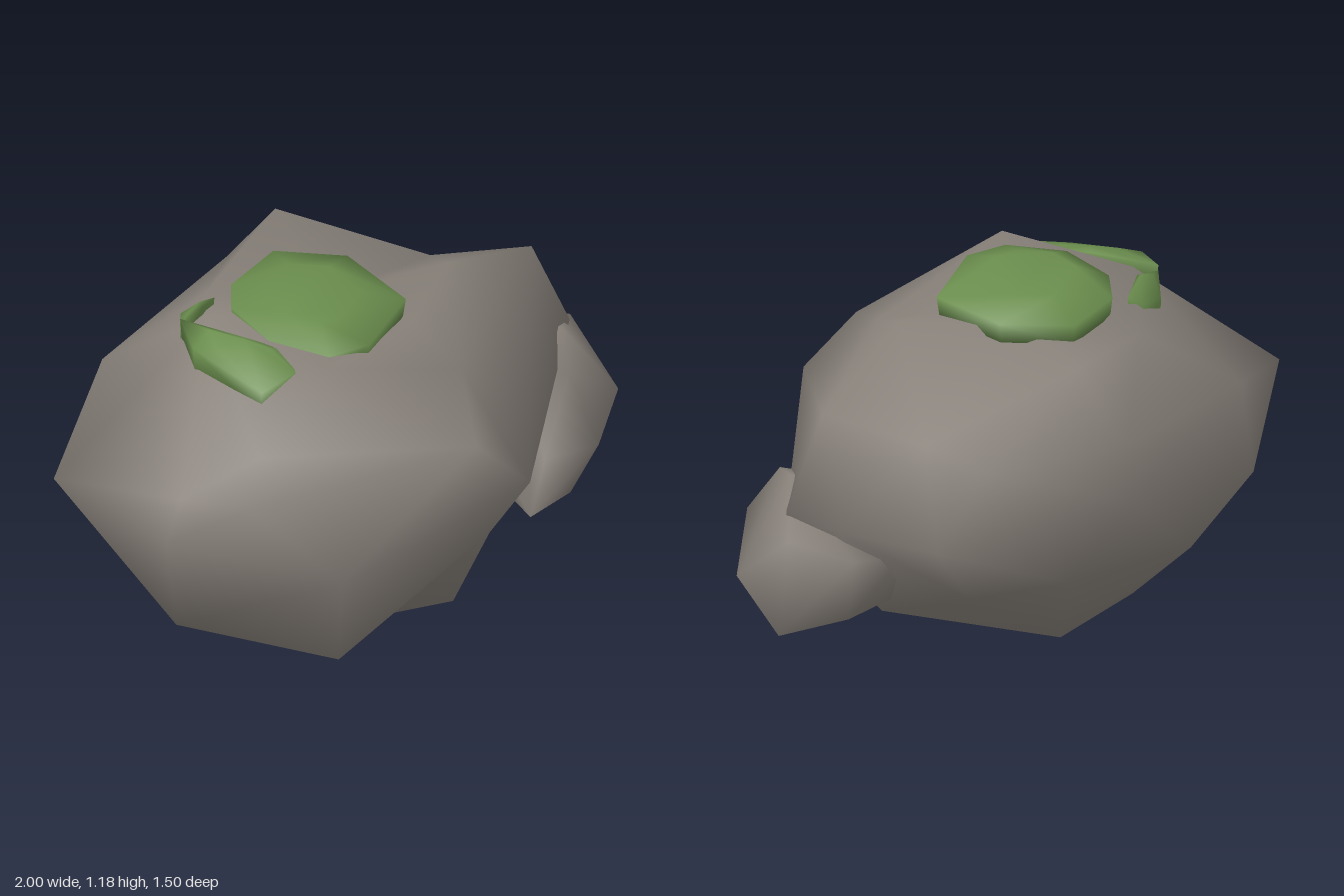
import * as THREE from 'three';
import { ConvexGeometry } from 'three/addons/geometries/ConvexGeometry.js';
import { mergeVertices } from 'three/addons/utils/BufferGeometryUtils.js';

// Weld the corners so the shading runs smoothly over the facets
function smooth(geometry) {
  geometry.deleteAttribute('normal');
  const welded = mergeVertices(geometry, 1e-4);
  welded.computeVertexNormals();
  return welded;
}

const toVectors = (points) => points.map((p) => new THREE.Vector3(...p));

// Closed convex stone around a few corner points
const smoothHull = (points) => smooth(new ConvexGeometry(toVectors(points)));

// Lumpy stone: corners are joined as seen from the centre, so hollows are kept
function lumpyStone(points, centre, radii) {
  const corners = toVectors(points);
  const directions = corners.map((c) => c.clone().sub(centre).divide(radii).normalize());
  const geometry = new ConvexGeometry(directions);
  const position = geometry.attributes.position;
  const v = new THREE.Vector3();
  for (let i = 0; i < position.count; i++) {
    v.fromBufferAttribute(position, i);
    const k = directions.findIndex((d) => d.distanceTo(v) < 1e-4);
    position.setXYZ(i, ...corners[k].toArray());
  }
  return smooth(geometry);
}

// Moss cushion: a rim with a skirt sunk into the rock and a raised crown
function cushion(rim, depth, rise) {
  const mid = new THREE.Vector3();
  toVectors(rim).forEach((p) => mid.add(p));
  mid.divideScalar(rim.length);
  const ring = (scale, dy) => rim.map(([x, y, z]) => [
    mid.x + (x - mid.x) * scale, y + dy, mid.z + (z - mid.z) * scale,
  ]);
  return smoothHull([...ring(0.97, -depth), ...rim, ...ring(0.55, rise)]);
}

export function createModel() {
  const model = new THREE.Group();
  model.name = 'mossyRock';
  const stone = new THREE.MeshStandardMaterial({ color: 0x88817a });
  stone.name = 'stoneGrey';
  const moss = new THREE.MeshStandardMaterial({ color: 0x6b8e4e });
  moss.name = 'mossGreen';
  const add = (name, geometry, material) => {
    const mesh = new THREE.Mesh(geometry, material);
    mesh.name = name;
    model.add(mesh);
  };

  // Main boulder
  add('boulder', lumpyStone([
    // underside
    [0.02, 0, 0.03], [0, 0.09, 0.44], [0.12, 0.07, -0.38], [-0.25, 0.09, -0.39],
    [0.45, 0.15, 0.1], [-0.67, 0.24, 0.54], [-0.42, 0.22, 0.42], [-0.95, 0.31, 0.08],
    [0.5, 0.33, -0.3], [0.1, 0.34, 0.51],
    // girdle
    [0.03, 0.68, 0.75], [-0.7, 0.57, 0.58], [0.87, 0.64, 0.17], [0.87, 0.64, -0.05],
    [0.82, 0.65, -0.41], [0.35, 0.42, -0.6], [-0.2, 0.36, -0.67], [-0.43, 0.57, -0.75],
    [-0.98, 0.67, -0.43], [-1, 0.65, 0.08],
    // shoulders
    [-0.95, 0.81, 0.1], [-0.85, 0.82, 0.32], [-0.73, 0.93, 0.25], [-0.12, 0.85, 0.65],
    [0.06, 0.96, 0.42], [0.15, 0.87, -0.68], [0.15, 0.67, -0.7], [0.74, 0.97, 0.12],
    [0.56, 0.84, -0.42], [0.58, 0.88, -0.18], [-0.52, 0.82, -0.63],
    // crown with a shallow hollow in the middle
    [-0.42, 1.14, 0.28], [-0.47, 1.14, -0.22], [0.31, 1.13, 0.14], [0.19, 1.11, -0.51],
    [-0.02, 1.06, -0.1], [0.06, 1.05, 0.2], [-0.25, 1.04, -0.42],
  ], new THREE.Vector3(0, 0.55, 0), new THREE.Vector3(1, 0.6, 0.75)), stone);

  // Small stone leaning on the front left side
  add('sideStone', smoothHull([
    [0.6, 0.45, 0.54], [0.62, 0.65, 0.39], [0.74, 0.71, 0.25], [0.55, 0.64, 0.25],
    [0.95, 0.59, 0.1], [1, 0.27, 0.1], [0.94, 0.4, 0.32], [0.64, 0.17, 0.38],
    [0.4, 0.21, 0.42], [0.47, 0.4, 0.42], [0.87, 0.55, -0.11], [0.86, 0.33, -0.08],
    [0.7, 0.17, 0.18], [0.5, 0.19, 0.18], [0.62, 0.31, -0.07], [0.6, 0.46, -0.1],
  ]), stone);

  // Moss on the crown: one wide cushion and two small ones past the ridge
  add('mossCushion', cushion([
    [-0.02, 1.13, -0.33], [0.12, 1.13, -0.13], [0.07, 1.12, 0.17], [-0.22, 1.13, 0.27],
    [-0.36, 1.13, 0.22], [-0.43, 1.14, 0.02], [-0.37, 1.14, -0.2], [-0.26, 1.13, -0.3],
  ], 0.07, 0.045), moss);
  add('mossSideCushion', cushion([
    [-0.61, 1.12, -0.15], [-0.53, 1.14, -0.28], [-0.47, 1.14, -0.05],
    [-0.42, 1.13, 0.1], [-0.48, 1.11, 0.18], [-0.6, 1.07, 0.14],
  ], 0.09, 0.01), moss);
  add('mossBackCushion', cushion([
    [-0.53, 1.12, -0.28], [-0.44, 1.08, -0.36], [-0.36, 1.08, -0.35],
    [-0.33, 1.11, -0.31], [-0.43, 1.14, -0.27],
  ], 0.1, 0.01), moss);

  return model;
}
